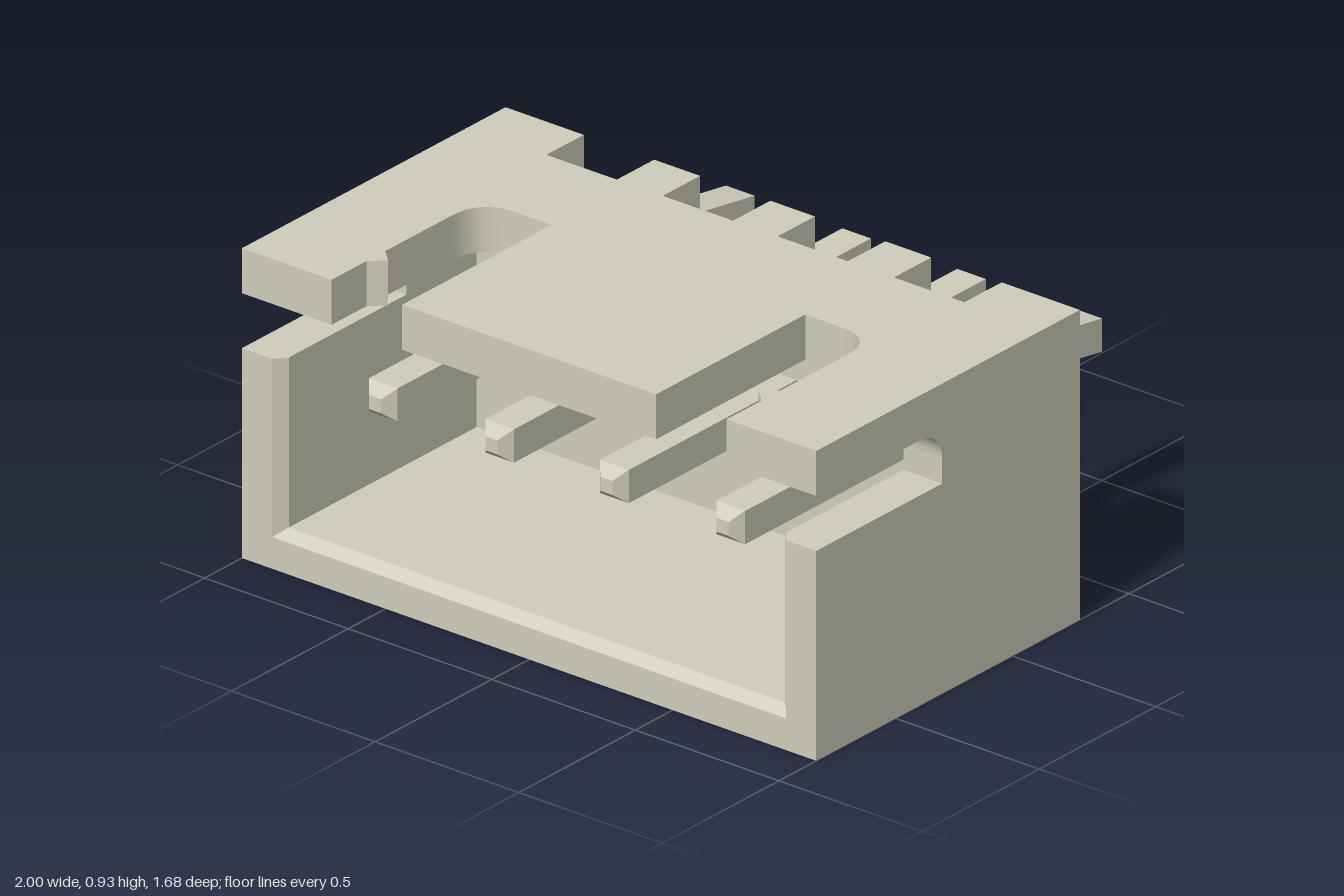
import * as THREE from 'three';
import { toCreasedNormals } from 'three/addons/utils/BufferGeometryUtils.js';

const PINS = [-0.605, -0.2, 0.2, 0.605];
const NOTCH = 0.1225; // half width of a rear notch
const REAR = -0.29, NOTCH_Z = -0.13, CAVITY_Z = 0, FRONT = 0.84;
const TOP = 0.93, ROOF = 0.795, RAIL = 0.63, FLOOR = 0.12, INNER = 0.865;

const extrude = (shape, depth) =>
  new THREE.ExtrudeGeometry(shape, { depth, bevelEnabled: false, curveSegments: 10 });

// Outline in (x, z), extruded vertically between y0 and y1
const slab = (shape, y0, y1) =>
  toCreasedNormals(extrude(shape, y1 - y0).rotateX(Math.PI / 2).translate(0, y1, 0), 0.5);

// Profile in (z, y), extruded sideways between x0 and x1
const profile = (shape, x0, x1) =>
  toCreasedNormals(extrude(shape, x1 - x0).rotateY(-Math.PI / 2).translate(x1, 0, 0), 0.5);

// Starts an outline along the notched rear edge, from x = -1 to x = 1
function rearEdge() {
  const s = new THREE.Shape();
  s.moveTo(-1, REAR);
  for (const x of PINS) {
    s.lineTo(x - NOTCH, REAR).lineTo(x - NOTCH, NOTCH_Z);
    s.lineTo(x + NOTCH, NOTCH_Z).lineTo(x + NOTCH, REAR);
  }
  s.lineTo(1, REAR);
  return s;
}

// Square bar through sections [z, centre y, half size]
function pinGeometry(sections) {
  const n = sections.length - 1;
  const box = new THREE.BoxGeometry(2, 2, 1, 1, 1, n);
  const p = box.attributes.position;
  for (let i = 0; i < p.count; i++) {
    const [z, y, h] = sections[Math.round((p.getZ(i) + 0.5) * n)];
    p.setXYZ(i, p.getX(i) * h, y + p.getY(i) * h, z);
  }
  const g = box.toNonIndexed();
  g.computeVertexNormals();
  return g;
}

export function createModel() {
  const group = new THREE.Group();
  const ivory = new THREE.MeshStandardMaterial({ color: 0xcfcdbb });
  ivory.name = 'ivory';
  const add = (name, geometry) => {
    const mesh = new THREE.Mesh(geometry, ivory);
    mesh.name = name;
    group.add(mesh);
    return mesh;
  };

  // Rear block below the roof
  const block = rearEdge();
  block.lineTo(1, CAVITY_Z).lineTo(-1, CAVITY_Z);
  add('rearBlock', slab(block, 0, ROOF));

  // Roof with two latch slots open to the front
  const roof = rearEdge();
  roof.lineTo(1, FRONT).lineTo(0.688, FRONT).lineTo(0.688, 0.69).lineTo(0.645, 0.65).lineTo(0.688, 0.61);
  roof.lineTo(0.688, 0.325).quadraticCurveTo(0.688, 0.2, 0.563, 0.2);
  roof.lineTo(0.442, 0.2).lineTo(0.442, FRONT).lineTo(-0.442, FRONT).lineTo(-0.442, 0.2);
  roof.lineTo(-0.563, 0.2).quadraticCurveTo(-0.688, 0.2, -0.688, 0.325);
  roof.lineTo(-0.688, 0.61).lineTo(-0.645, 0.65).lineTo(-0.688, 0.69).lineTo(-0.688, FRONT).lineTo(-1, FRONT);
  add('roof', slab(roof, ROOF, TOP));

  // Floor and side walls as one U section, then the chamfered lip
  const u = new THREE.Shape([
    [-1, 0], [1, 0], [1, RAIL], [INNER, RAIL], [INNER, FLOOR], [-INNER, FLOOR], [-INNER, RAIL], [-1, RAIL],
  ].map(([x, y]) => new THREE.Vector2(x, y)));
  const lipZ = FRONT - 0.035;
  add('shell', extrude(u, lipZ - CAVITY_Z).translate(0, 0, CAVITY_Z));
  const lip = extrude(u, FRONT - lipZ).translate(0, 0, lipZ);
  const p = lip.attributes.position;
  for (let i = 0; i < p.count; i++) {
    if (p.getZ(i) < FRONT - 0.01) continue;
    const x = p.getX(i), y = p.getY(i);
    if (Math.abs(x) < 0.9) p.setX(i, Math.sign(x) * 0.895);
    if (Math.abs(y - FLOOR) < 0.01) p.setY(i, 0.095);
  }
  lip.computeVertexNormals();
  add('chamferedLip', lip);

  // Side wall bridges behind the side slots, rounded under the roof
  const bridge = new THREE.Shape();
  bridge.moveTo(CAVITY_Z, RAIL).lineTo(0.3, RAIL).lineTo(0.3, 0.705);
  bridge.absarc(0.39, 0.705, 0.09, Math.PI, Math.PI / 2, true);
  bridge.lineTo(CAVITY_Z, ROOF);
  add('leftBridge', profile(bridge, INNER, 1));
  add('rightBridge', profile(bridge, -1, -INNER));

  // Sloped filler in each rear notch
  const wedge = new THREE.Shape();
  wedge.moveTo(NOTCH_Z, 0).lineTo(NOTCH_Z, TOP).lineTo(-0.24, 0.6).lineTo(-0.24, 0.5);

  // Contact pins: outer ones kinked behind, inner ones straight
  const front = [[0.72, 0.55, 0.05], [0.755, 0.55, 0.021]];
  const straight = pinGeometry([[-0.84, 0.55, 0.022], [-0.81, 0.55, 0.05], ...front]);
  const kinked = pinGeometry([
    [-0.84, 0.552, 0.022], [-0.81, 0.555, 0.05], [-0.53, 0.6, 0.05], [-0.44, 0.55, 0.05], ...front,
  ]);
  PINS.forEach((x, i) => {
    add('notchSlope' + (i + 1), profile(wedge, x - NOTCH, x + NOTCH));
    add('pin' + (i + 1), i === 0 || i === 3 ? kinked : straight).position.x = x;
  });
  return group;
}
